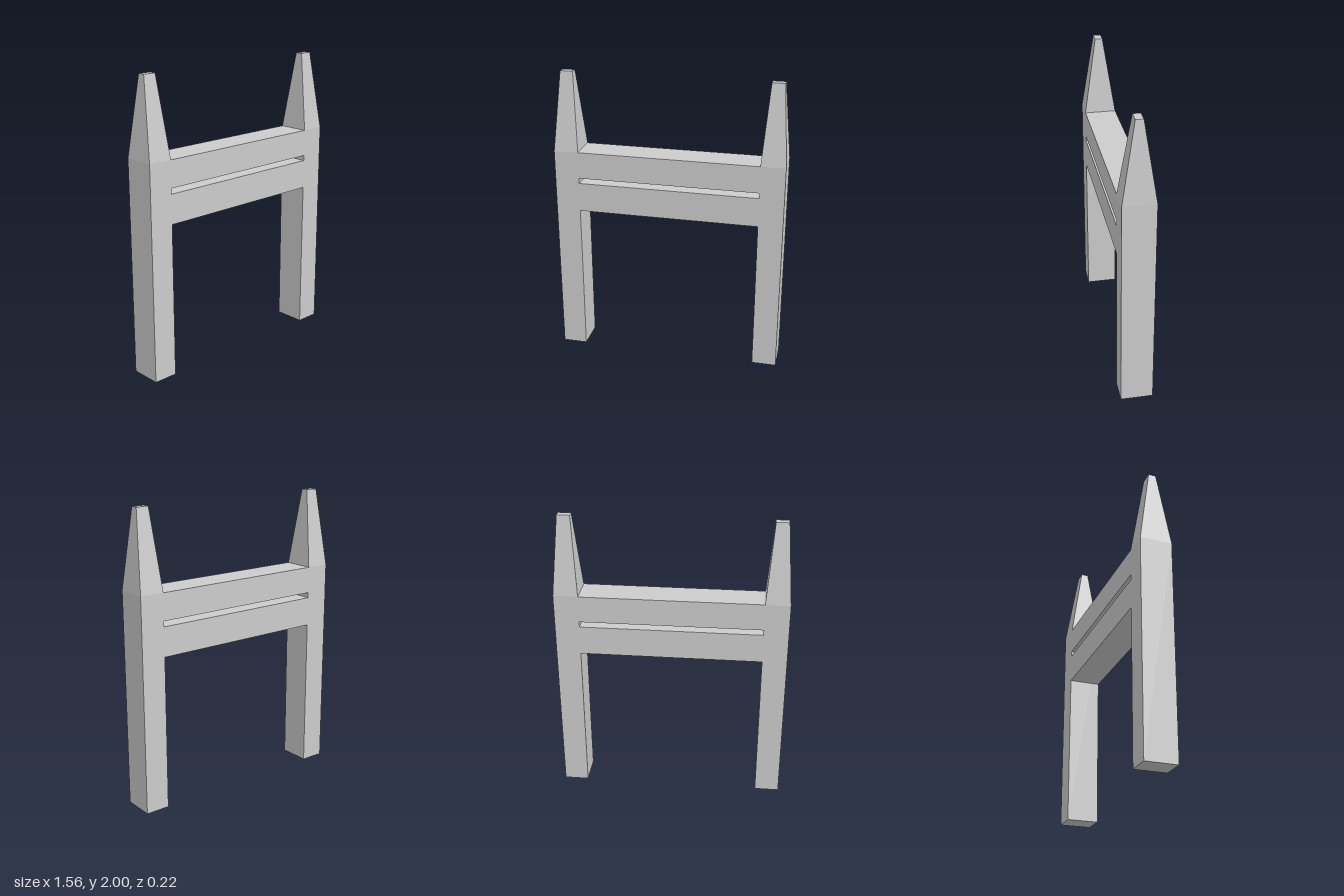
import * as THREE from 'three';

const INNER = 0.612, OUTER = 0.778;   // post extent in x
const DEPTH = 0.216;                  // shared depth of posts and beams
const SHOULDER = 1.47, HEIGHT = 2;    // where the spire starts and ends

export function createModel() {
  const group = new THREE.Group();
  const material = new THREE.MeshStandardMaterial({ color: 0xcccccc, flatShading: true });

  const add = (name, geometry, x, y) => {
    const mesh = new THREE.Mesh(geometry, material);
    mesh.name = name;
    mesh.position.set(x, y, 0);
    group.add(mesh);
  };

  // Square post whose upper section tapers to a small blunt tip
  const postGeometry = () => {
    const box = new THREE.BoxGeometry(OUTER - INNER, 2, DEPTH, 1, 2, 1);
    const p = box.attributes.position;
    for (let i = 0; i < p.count; i++) {
      const row = Math.round(p.getY(i)) + 1; // 0 foot, 1 shoulder, 2 tip
      p.setY(i, [0, SHOULDER, HEIGHT][row]);
      if (row === 2) {
        p.setX(i, Math.sign(p.getX(i)) * 0.043);
        p.setZ(i, Math.sign(p.getZ(i)) * 0.025);
      }
    }
    const flat = box.toNonIndexed();
    flat.computeVertexNormals();
    return flat;
  };

  for (const [name, side] of [['leftPost', 1], ['rightPost', -1]]) {
    add(name, postGeometry(), side * (INNER + OUTER) / 2, 0);
  }

  // Two cross beams separated by a narrow slot
  for (const [name, bottom, top] of [['lowerBeam', 1.05, 1.25], ['upperBeam', 1.287, SHOULDER]]) {
    add(name, new THREE.BoxGeometry(INNER * 2, top - bottom, DEPTH), 0, (bottom + top) / 2);
  }

  return group;
}
